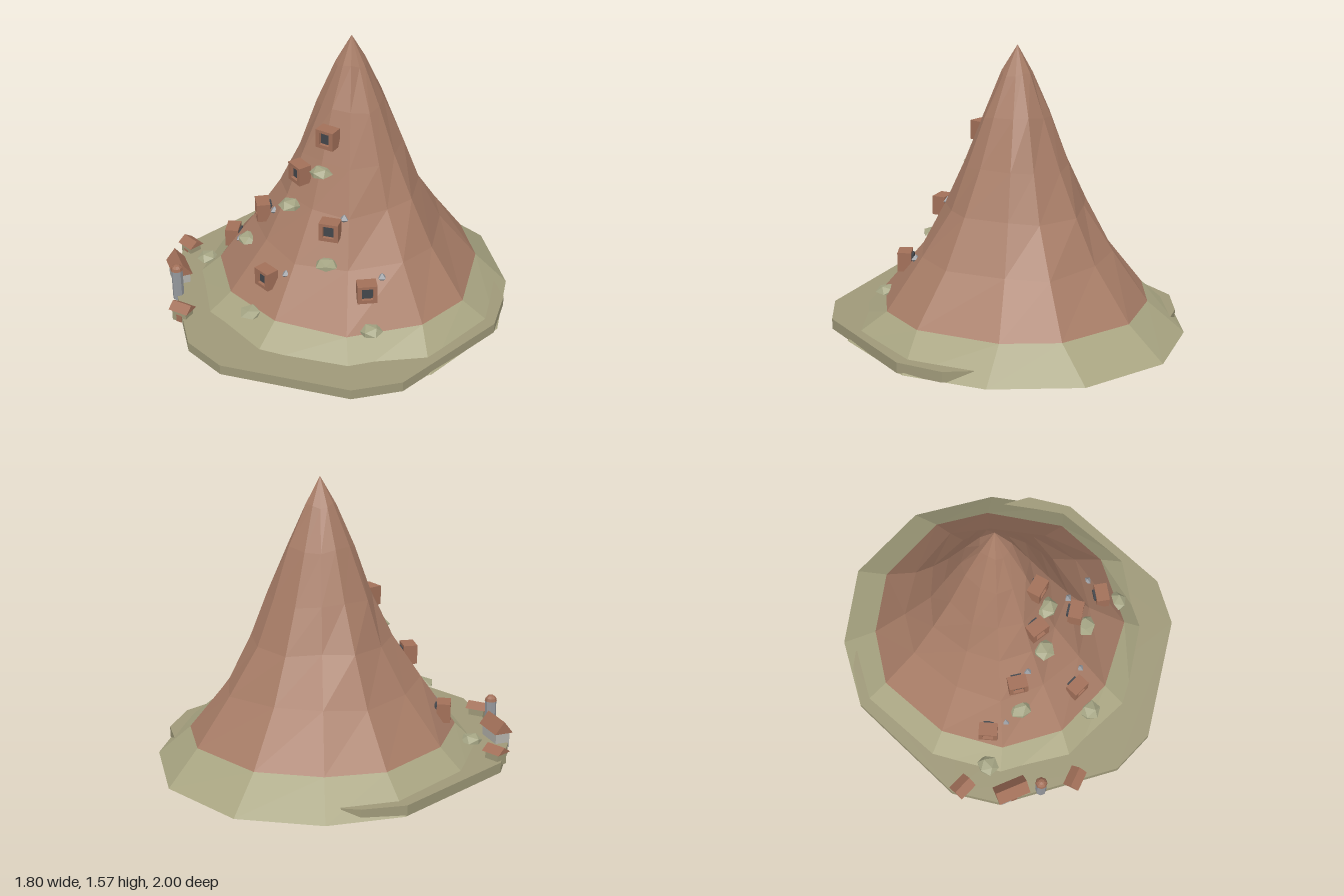
import * as THREE from 'three';

const mat = (name, color) => {
  const m = new THREE.MeshStandardMaterial({ color, flatShading: true });
  m.name = name;
  return m;
};

export function createModel() {
  const rock = mat('red rock', 0xa87d67);
  const skirtMat = mat('dry grass', 0xa9a582);
  const ground = mat('ground', 0x9f9979);
  const scrub = mat('scrub', 0xa5a584);
  const clay = mat('clay', 0xa27059);
  const dark = mat('dark opening', 0x43464b);
  const stone = mat('grey stone', 0x96999e);
  const plaster = mat('pale plaster', 0xb4b3ad);

  const model = new THREE.Group();
  model.name = 'mountainVillage';
  const add = (parent, name, geo, material, x = 0, y = 0, z = 0) => {
    const mesh = new THREE.Mesh(geo, material);
    mesh.name = name;
    mesh.position.set(x, y, z);
    parent.add(mesh);
    return mesh;
  };
  const group = (name, x, y, z, yaw) => {
    const g = new THREE.Group();
    g.name = name;
    g.position.set(x, y, z);
    g.rotation.y = yaw;
    model.add(g);
    return g;
  };

  // Mountain: irregular twelve-sided rings around a vertical axis
  const CZ = -0.09;
  const foot = [[0.88, -0.36], [0.9, 0.2], [0.64, 0.55], [0.18, 0.83], [-0.3, 0.8], [-0.67, 0.56],
    [-0.88, 0.18], [-0.9, -0.36], [-0.69, -0.72], [-0.31, -0.99], [0.2, -1], [0.62, -0.74]];
  const shoulder = [[0.72, -0.24], [0.72, 0.08], [0.52, 0.45], [0.15, 0.63], [-0.22, 0.63], [-0.53, 0.45],
    [-0.7, 0.13], [-0.72, -0.31], [-0.54, -0.58], [-0.24, -0.79], [0.2, -0.8], [0.47, -0.63]];
  const N = shoulder.length;
  const ringAt = (pts, y) => pts.map(([x, z]) => new THREE.Vector3(x, y, z));
  const scaled = (s, y, k) => shoulder.map(([x, z], i) => {
    const f = s * (1 + 0.03 * Math.sin(i * 2.7 + k * 1.9));
    return new THREE.Vector3(x * f - 0.01 * (1 - s), y + 0.012 * Math.sin(i * 1.7 + k), CZ + (z - CZ) * f);
  });
  const skin = (rings) => {
    const pts = [];
    for (let r = 0; r + 1 < rings.length; r++) {
      for (let i = 0; i < N; i++) {
        const j = (i + 1) % N, a = rings[r], b = rings[r + 1];
        pts.push(a[i], b[i], a[j], a[j], b[i], b[j]);
      }
    }
    return pts;
  };
  const solid = (pts) => {
    const g = new THREE.BufferGeometry().setFromPoints(pts);
    g.computeVertexNormals();
    return g;
  };
  const low = ringAt(foot, 0), mid = ringAt(shoulder, 0.17);
  const base = [];
  low.forEach((p, i) => base.push(new THREE.Vector3(0, 0, CZ), p, low[(i + 1) % N]));
  add(model, 'mountainSkirt', solid([...skin([low, mid]), ...base]), skirtMat);
  const levels = [[0.72, 0.44], [0.52, 0.69], [0.385, 0.93], [0.245, 1.2], [0.112, 1.42]];
  const tip = Array(N).fill(new THREE.Vector3(-0.01, 1.57, CZ));
  add(model, 'mountainPeak', solid(skin([mid, ...levels.map(([s, y], k) => scaled(s, y, k)), tip])), rock);

  // Flat ledge around the front
  const ledge = [[-0.14, 1], [0.13, 1], [0.75, 0.64], [0.89, 0.4], [0.89, -0.32], [0.76, -0.55],
    [0.62, -0.63], [0, -0.3], [-0.69, -0.61], [-0.77, -0.55], [-0.9, -0.35], [-0.9, 0.4], [-0.76, 0.64]];
  const ledgeShape = new THREE.Shape(ledge.map(([x, z]) => new THREE.Vector2(x, -z)));
  add(model, 'ledge', new THREE.ExtrudeGeometry(ledgeShape, { depth: 0.058, bevelEnabled: false })
    .rotateX(-Math.PI / 2), ground, 0, 0.001, 0);

  // Cliff huts: clay frames around a recessed dark opening
  const frame = new THREE.Shape([[-0.053, -0.053], [0.053, -0.053], [0.053, 0.053], [-0.053, 0.053]]
    .map(([x, y]) => new THREE.Vector2(x, y)));
  frame.holes.push(new THREE.Path([[-0.03, -0.032], [-0.03, 0.037], [0.03, 0.037], [0.03, -0.032]]
    .map(([x, y]) => new THREE.Vector2(x, y))));
  const frameGeo = new THREE.ExtrudeGeometry(frame, { depth: 0.075, bevelEnabled: false }).translate(0, 0, -0.0375);
  const openingGeo = new THREE.BoxGeometry(0.06, 0.069, 0.07).translate(0, 0.0025, -0.015);
  const huts = [[0.06, 1.075, 0.15], [-0.05, 0.86, 0.255], [-0.28, 0.555, 0.33], [0.23, 0.64, 0.295],
    [-0.01, 0.335, 0.545], [0.49, 0.365, 0.275], [-0.535, 0.275, 0.345]];
  for (const [x, y, z] of huts) {
    const hut = group('cliffHut', x, y, z, Math.atan2(x, z - CZ));
    add(hut, 'hutFrame', frameGeo, clay);
    add(hut, 'hutOpening', openingGeo, dark);
  }

  // Scrub clumps: squashed, flat-bottomed lumps
  const bushGeo = new THREE.IcosahedronGeometry(0.065, 0);
  const bp = bushGeo.attributes.position;
  for (let i = 0; i < bp.count; i++) bp.setY(i, Math.max(bp.getY(i), -0.012) * 0.6);
  bushGeo.computeVertexNormals();
  const bushes = [[0.07, 0.885, 0.21], [-0.06, 0.672, 0.32], [-0.33, 0.362, 0.4], [0.26, 0.456, 0.35],
    [-0.015, 0.15, 0.66], [0.58, 0.18, 0.33], [-0.65, 0.1, 0.45]];
  bushes.forEach(([x, y, z], i) => {
    add(model, 'bush', bushGeo, scrub, x, y, z).rotation.y = i * 1.3;
  });

  // Small stone lanterns beside the huts
  const gem = new THREE.OctahedronGeometry(0.027);
  for (const [x, y, z] of [[0.49, 0.4, 0.16], [0.25, 0.68, 0.21], [-0.19, 0.58, 0.32],
    [0.08, 0.367, 0.48], [-0.43, 0.307, 0.38]]) add(model, 'lantern', gem, stone, x, y, z);

  // Village houses with gabled roofs, ridge along local x
  const house = (x, z, yaw, length, depth, eave, ridge, wall) => {
    const g = group('villageHouse', x, 0.03, z, yaw);
    const w = length - 0.03, d = depth - 0.025;
    add(g, 'walls', new THREE.BoxGeometry(w, eave, d), wall, 0, eave / 2, 0);
    const gable = new THREE.Shape([new THREE.Vector2(-depth / 2, eave), new THREE.Vector2(depth / 2, eave),
      new THREE.Vector2(0, ridge)]);
    add(g, 'roof', new THREE.ExtrudeGeometry(gable, { depth: length, bevelEnabled: false })
      .translate(0, 0, -length / 2).rotateY(Math.PI / 2), clay);
    add(g, 'door', new THREE.BoxGeometry(0.035, eave * 0.62, 0.006), clay, 0, eave * 0.31, d / 2);
  };
  house(-0.84, 0.43, 0, 0.115, 0.1, 0.07, 0.105, ground);
  house(-0.665, 0.65, -0.41, 0.19, 0.11, 0.09, 0.16, plaster);
  house(-0.36, 0.865, 0.31, 0.12, 0.095, 0.07, 0.105, ground);

  // Watch tower with a domed cap
  add(model, 'tower', new THREE.CylinderGeometry(0.032, 0.032, 0.19, 8), stone, -0.535, 0.125, 0.76);
  add(model, 'towerDome', new THREE.SphereGeometry(0.035, 8, 3, 0, Math.PI * 2, 0, Math.PI / 2),
    clay, -0.535, 0.219, 0.76);

  return model;
}
